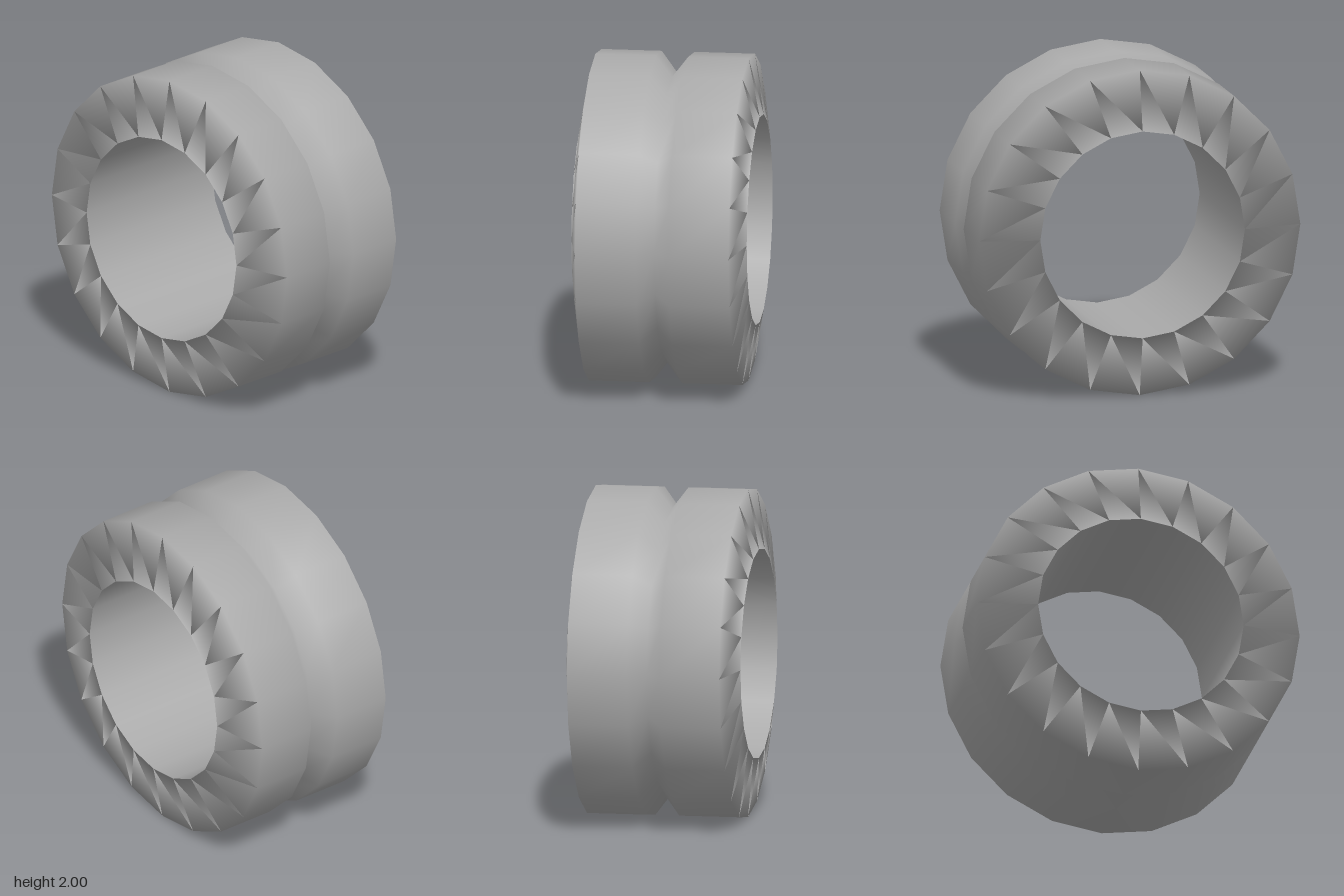
import * as THREE from 'three';

const SIDES = 20;

// Closed cross-section: radius, offset along the axle, radial and axial part of the normal
const PROFILE = [
  [0.637, -0.532, -1, 0],
  [1, -0.465, 1, 0],
  [1, -0.1, 1, 0.25],
  [0.87, 0, 1, 0],
  [1, 0.1, 1, -0.25],
  [1, 0.465, 1, 0],
  [0.637, 0.532, -1, 0],
  [0.637, -0.532, -1, 0],
];

// Revolve the section around the x axis, shading tread and bore as soft round surfaces
function ringGeometry() {
  const points = PROFILE.map(([r, a]) => new THREE.Vector2(r, a));
  const geometry = new THREE.LatheGeometry(points, SIDES).rotateZ(-Math.PI / 2);
  const { position, normal } = geometry.attributes;
  const n = new THREE.Vector3();
  for (let i = 0; i < position.count; i++) {
    const [r, , radial, axial] = PROFILE[i % PROFILE.length];
    n.set(axial, (position.getY(i) / r) * radial, (position.getZ(i) / r) * radial).normalize();
    normal.setXYZ(i, n.x, n.y, n.z);
  }
  return geometry.translate(0, 1, 0);
}

export function createModel() {
  const group = new THREE.Group();
  group.name = 'groovedRing';

  // Ring with tapered side faces, a straight bore and a V groove around the middle
  const ring = new THREE.Mesh(ringGeometry(), new THREE.MeshStandardMaterial({ color: 0xaaaaaa }));
  ring.name = 'ring';
  group.add(ring);

  return group;
}
